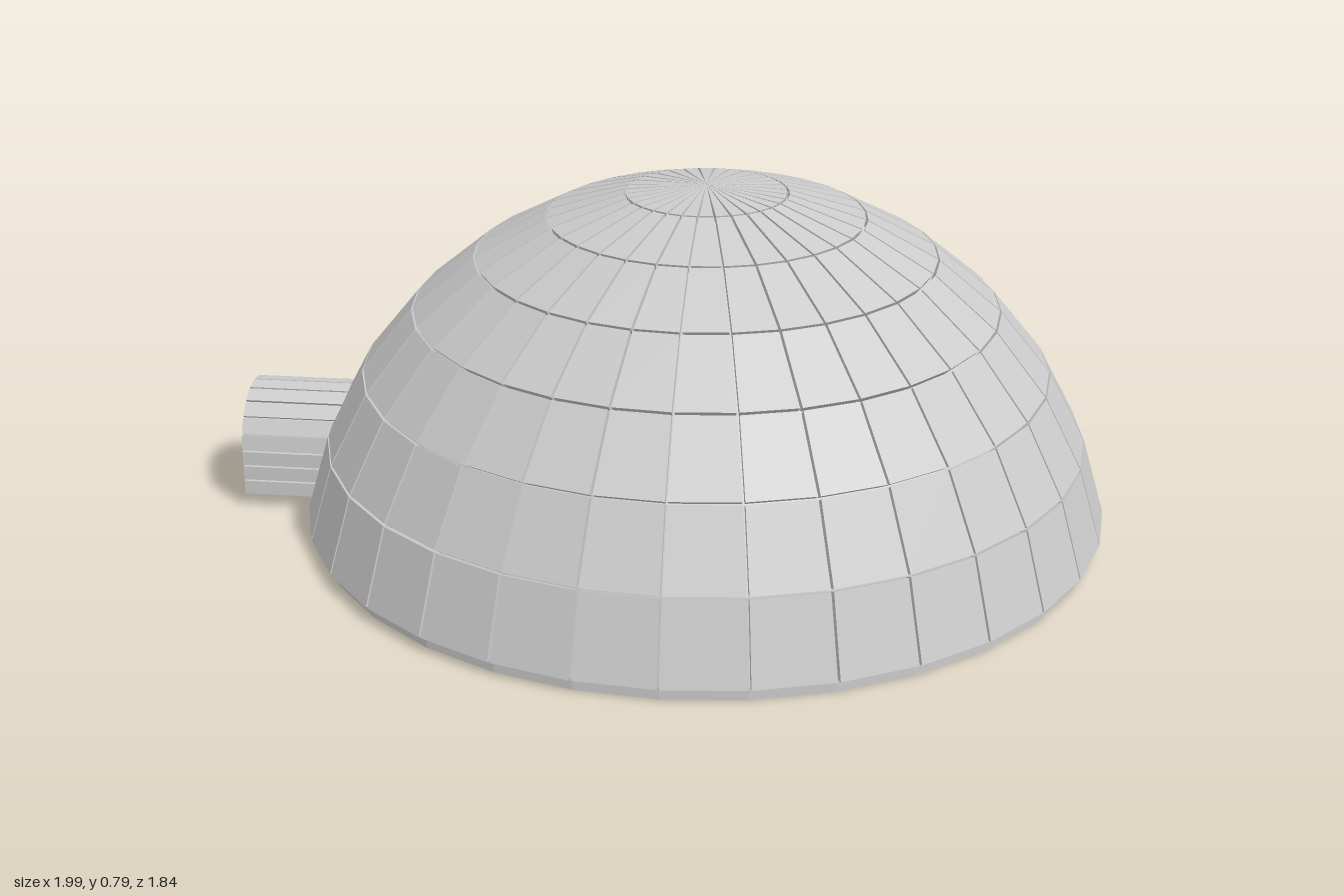
import * as THREE from 'three';
import { mergeGeometries } from 'three/addons/utils/BufferGeometryUtils.js';

const V = (x, y, z) => new THREE.Vector3(x, y, z);
const SIDES = 32, STEP = Math.PI / 16, ROWS = 7;
const CX = 0.07, CY = -0.152; // centre of the dome's sphere
const R_OUT = 0.939, R_IN = 0.92;

// Six-sided block from an inner and an outer quad (counter-clockwise from outside)
function block(inner, outer) {
  const p = [...inner, ...outer];
  const quads = [[4, 5, 6, 7], [3, 2, 1, 0]];
  for (let i = 0; i < 4; i++) {
    const j = (i + 1) % 4;
    quads.push([i, j, j + 4, i + 4]);
  }
  const pos = [];
  for (const [a, b, c, d] of quads)
    for (const k of [a, b, c, a, c, d]) pos.push(...p[k].toArray());
  const g = new THREE.BufferGeometry();
  g.setAttribute('position', new THREE.Float32BufferAttribute(pos, 3));
  g.computeVertexNormals();
  return g;
}

// Bricks of the dome, with narrow joints between them
function domeBricks() {
  const list = [], gap = 0.003;
  for (let row = 0; row < ROWS; row++) {
    const top = row * STEP + (row ? gap : 0.001), low = (row + 1) * STEP - (row < ROWS - 1 ? gap : 0);
    for (let i = 0; i < SIDES; i++) {
      const quad = (r) => {
        const at = (polar, side) => {
          // keep the joint width even towards the crown
          const g = Math.min(gap / Math.sin(polar), STEP * 0.08);
          const a = side ? (i + 1) * STEP - g : i * STEP + g;
          const s = r * Math.sin(polar);
          return V(CX + s * Math.sin(a), CY + r * Math.cos(polar), s * Math.cos(a));
        };
        return [at(low, 0), at(low, 1), at(top, 1), at(top, 0)];
      };
      list.push(block(quad(R_IN - 0.004), quad(R_OUT)));
    }
  }
  return mergeGeometries(list);
}

// Closed core behind the joints, with the foot and flat underside
function domeCore() {
  const foot = R_IN * Math.sin(ROWS * STEP);
  const pts = [new THREE.Vector2(0, 0), new THREE.Vector2(foot, 0)];
  for (let k = ROWS; k >= 0; k--)
    pts.push(new THREE.Vector2(R_IN * Math.sin(k * STEP), CY + R_IN * Math.cos(k * STEP)));
  return new THREE.LatheGeometry(pts, SIDES).translate(CX, 0, 0);
}

// Arch outline: straight walls below a half circle, as [across, up]
const FLOOR = 0.03, SPRING = 0.14;
function archPoints(r) {
  const pts = [];
  for (let i = 0; i < 3; i++) pts.push([r, FLOOR + (SPRING - FLOOR) * i / 3]);
  for (let i = 0; i <= 10; i++) {
    const a = Math.PI * i / 10;
    pts.push([r * Math.cos(a), SPRING + r * Math.sin(a)]);
  }
  for (let i = 2; i >= 0; i--) pts.push([-r, FLOOR + (SPRING - FLOOR) * i / 3]);
  return pts;
}

// Long bricks around the entrance tunnel
function tunnelBricks() {
  const outer = archPoints(0.13), inner = archPoints(0.119), list = [];
  const x0 = -1, x1 = -0.74;
  for (let i = 0; i < outer.length - 1; i++) {
    const quad = (pts) => {
      const at = (x, t) => V(x,
        THREE.MathUtils.lerp(pts[i][1], pts[i + 1][1], t),
        THREE.MathUtils.lerp(pts[i][0], pts[i + 1][0], t));
      return [at(x0, 0.05), at(x1, 0.05), at(x1, 0.95), at(x0, 0.95)];
    };
    list.push(block(quad(inner), quad(outer)));
  }
  return mergeGeometries(list);
}

// Thin arch lining inside the tunnel bricks, open at the bottom
function tunnelLining() {
  const toV2 = ([x, y]) => new THREE.Vector2(x, y);
  const shape = new THREE.Shape([
    ...archPoints(0.12).map(toV2),
    ...archPoints(0.11).reverse().map(toV2),
  ]);
  return new THREE.ExtrudeGeometry(shape, { depth: 0.258, bevelEnabled: false })
    .rotateY(-Math.PI / 2).translate(-0.74, 0, 0);
}

export function createModel() {
  const model = new THREE.Group();
  const material = new THREE.MeshStandardMaterial({ color: 0xcccccc, flatShading: true });
  const add = (name, geometry) => {
    const mesh = new THREE.Mesh(geometry, material);
    mesh.name = name;
    model.add(mesh);
  };
  add('domeCore', domeCore());
  add('domeBricks', domeBricks());
  add('tunnelBricks', tunnelBricks());
  add('tunnelLining', tunnelLining());
  return model;
}
